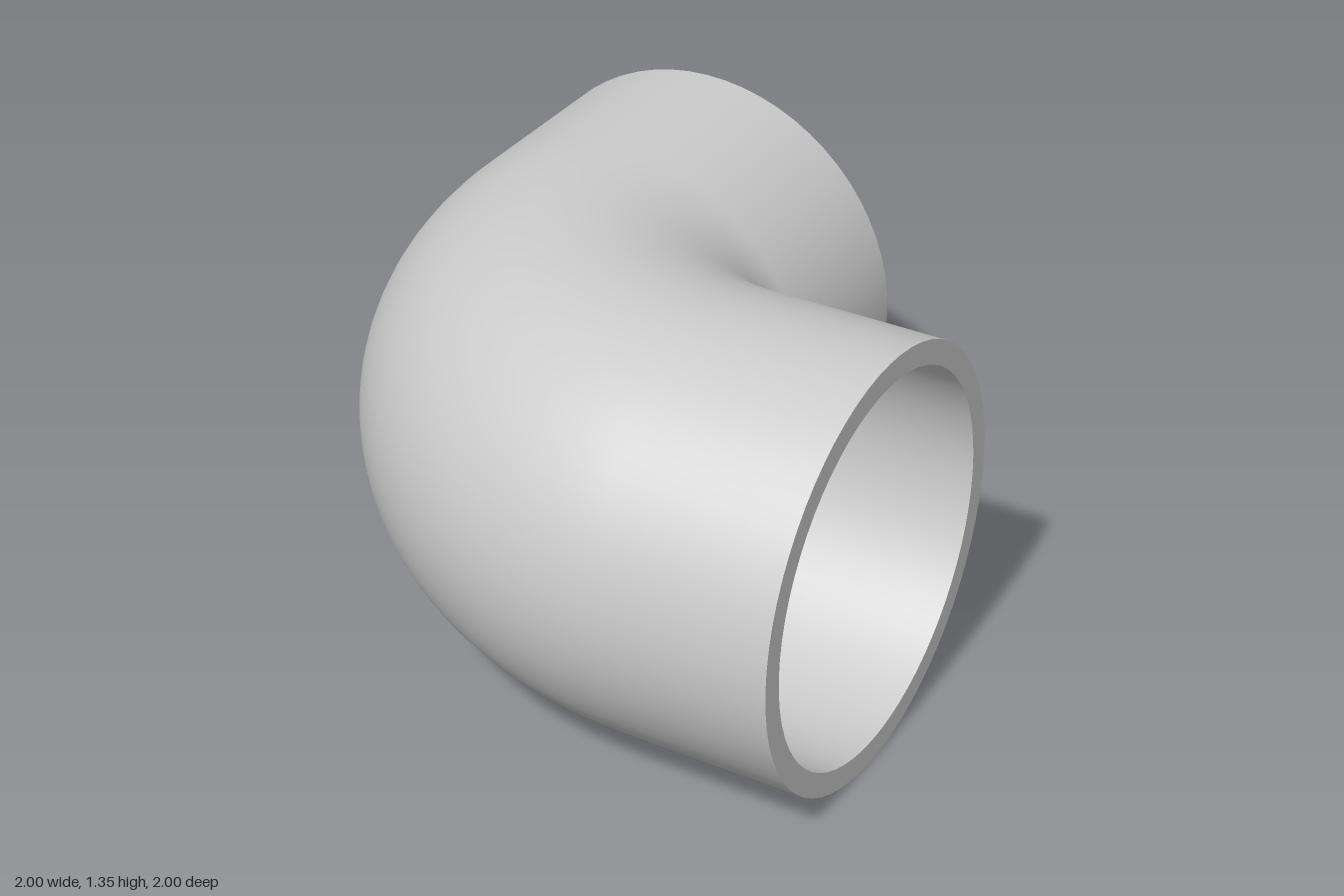
import * as THREE from 'three';
import { ParametricGeometry } from 'three/addons/geometries/ParametricGeometry.js';

const OUTER = 0.675, BORE = 0.6;   // pipe radii
const BEND = 0.755;                // bend radius of the centre line
const C = 0.43;                    // bend centre at (C, -C) in x, z
const SIDES = 64;

// Pipe wall: straight run, quarter bend, straight run. dir = -1 faces inward.
function wall(radius, dir) {
  return new ParametricGeometry((u, v, target) => {
    const phi = THREE.MathUtils.clamp((u - 0.1) / 0.8, 0, 1) * Math.PI / 2;
    const before = Math.max(0, 0.1 - u) / 0.1 * (1 - C);
    const after = Math.max(0, u - 0.9) / 0.1 * (1 - C);
    const a = dir * v * Math.PI * 2;
    const reach = BEND + radius * Math.cos(a);
    target.set(
      C - reach * Math.cos(phi) + after,
      OUTER + radius * Math.sin(a),
      -C + reach * Math.sin(phi) - before
    );
  }, 40, SIDES);
}

export function createModel() {
  const group = new THREE.Group();
  group.name = 'pipeElbow';
  const material = new THREE.MeshStandardMaterial({ color: 0xcccccc });
  const add = (name, geometry) => {
    const mesh = new THREE.Mesh(geometry, material);
    mesh.name = name;
    group.add(mesh);
    return mesh;
  };

  add('outerWall', wall(OUTER, 1));
  add('innerWall', wall(BORE, -1));

  // Flat annular rims closing the wall at both openings
  const rim = new THREE.RingGeometry(BORE, OUTER, SIDES);
  const back = add('backRim', rim);
  back.position.set(C - BEND, OUTER, -1);
  back.rotation.y = Math.PI;
  const left = add('leftRim', rim);
  left.position.set(1, OUTER, BEND - C);
  left.rotation.y = Math.PI / 2;

  return group;
}
